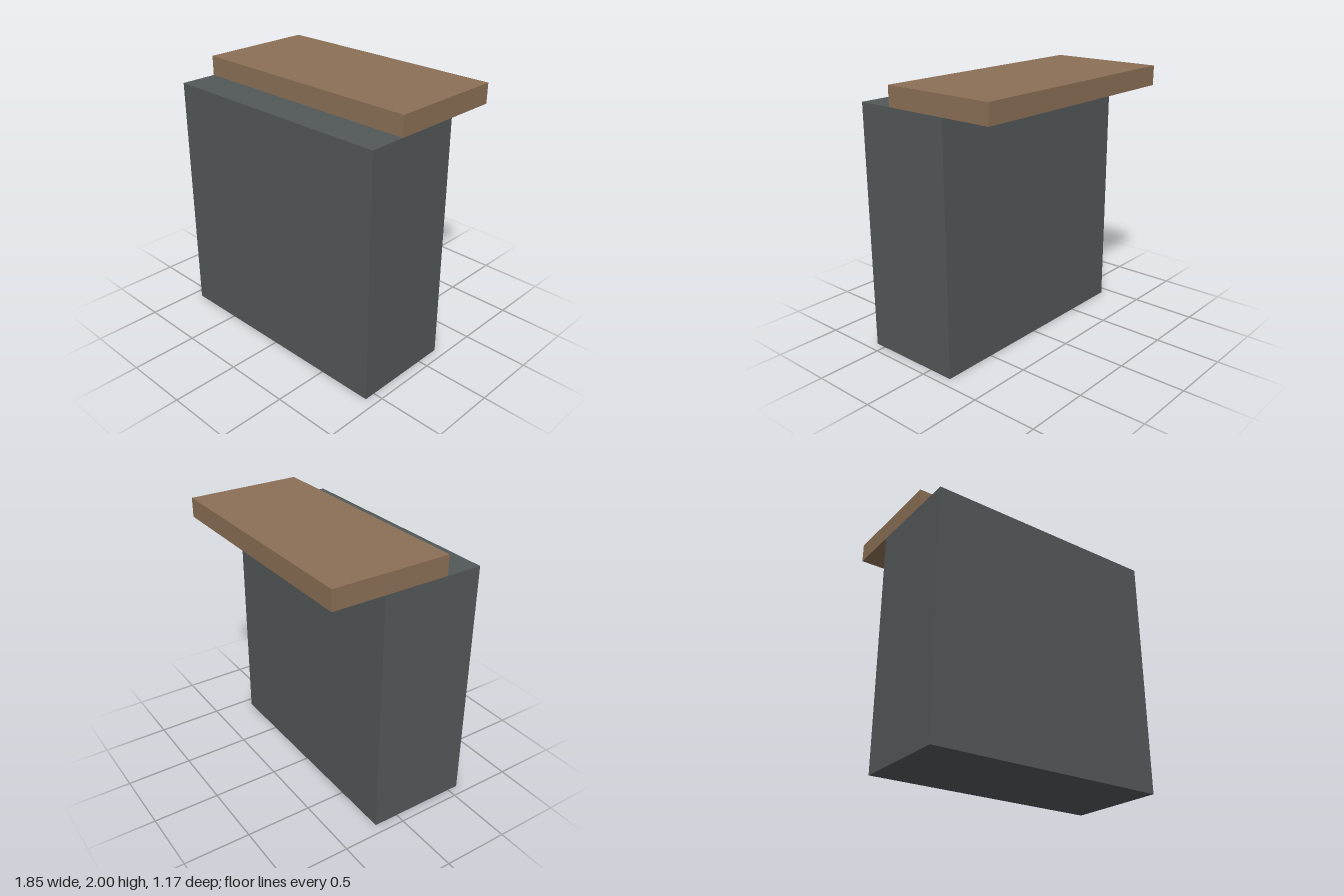
import * as THREE from 'three';

// Box given by its minimum and maximum corners
function slab(name, color, [x0, y0, z0], [x1, y1, z1]) {
  const mesh = new THREE.Mesh(
    new THREE.BoxGeometry(x1 - x0, y1 - y0, z1 - z0),
    new THREE.MeshStandardMaterial({ color })
  );
  mesh.position.set((x0 + x1) / 2, (y0 + y1) / 2, (z0 + z1) / 2);
  mesh.name = name;
  return mesh;
}

export function createModel() {
  const group = new THREE.Group();
  group.name = 'counter';
  const halfWidth = 0.925;
  const bodyTop = 1.852;

  // Counter body
  group.add(slab('counterBody', 0x535859, [-halfWidth, 0, -0.19], [halfWidth, bodyTop, 0.583]));

  // Wooden top, set back and overhanging behind the body
  group.add(slab('counterTop', 0x8b7056, [-halfWidth, bodyTop, -0.583], [halfWidth, 2, 0.305]));

  return group;
}
